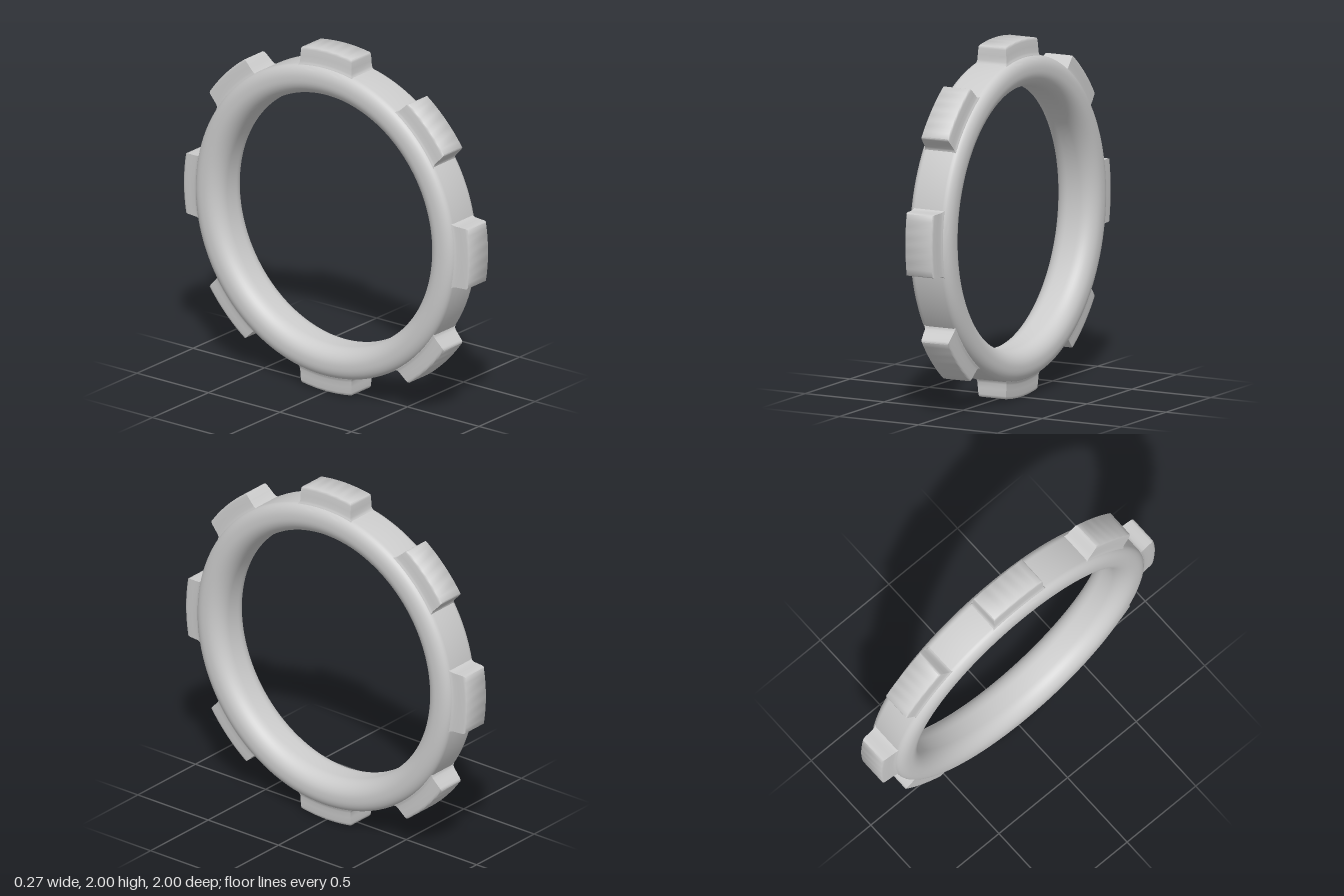
import * as THREE from 'three';
import { toCreasedNormals } from 'three/addons/utils/BufferGeometryUtils.js';

const material = new THREE.MeshStandardMaterial({ color: 0xcccccc });
const LUGS = 8;

// Rounded band, turned around the x axis
function ringGeometry() {
  const half = [];
  const arc = (cx, cr, rx, rr, from, to, n) => {
    for (let i = 0; i <= n; i++) {
      const a = from + (to - from) * i / n;
      half.push([cr + rr * Math.sin(a), cx + rx * Math.cos(a)]);
    }
  };
  // Quarter curves from the outer rim to the side, then to the bore
  arc(0.085, 0.835, 0.048, 0.07, Math.PI / 2, 0, 8);
  arc(0.04, 0.82, 0.093, 0.09, 0, -Math.PI / 2, 10);
  const mirrored = half.map(([r, x]) => [r, -x]).reverse();
  const loop = [...half, ...mirrored, half[0]].map(([r, x]) => new THREE.Vector2(r, x));
  const geometry = new THREE.LatheGeometry(loop, 128);
  geometry.rotateZ(-Math.PI / 2);
  return toCreasedNormals(geometry, 0.7);
}

// Raised block: layers of [radius, half width, half length], flared at its foot
function lugGeometry() {
  const layers = [
    [0.86, 0.1, 0.195], [0.9, 0.1, 0.192], [0.908, 0.095, 0.183], [0.92, 0.092, 0.179],
    [0.95, 0.09, 0.178], [0.985, 0.087, 0.177], [0.996, 0.085, 0.175], [1, 0.081, 0.171],
  ];
  const n = layers.length - 1;
  const geometry = new THREE.BoxGeometry(2, 1, 2, 1, n, 10);
  const p = geometry.attributes.position;
  for (let i = 0; i < p.count; i++) {
    const [r, hx, hz] = layers[Math.round((p.getY(i) + 0.5) * n)];
    const z = p.getZ(i) * hz;
    p.setXYZ(i, p.getX(i) * hx, Math.sqrt(r * r - z * z), z);
  }
  return toCreasedNormals(geometry, 0.9);
}

export function createModel() {
  const group = new THREE.Group();
  group.name = 'luggedRing';

  const ring = new THREE.Mesh(ringGeometry(), material);
  ring.name = 'ring';
  ring.position.y = 1;
  group.add(ring);

  // Evenly spaced lugs around the rim
  const geometry = lugGeometry();
  for (let i = 0; i < LUGS; i++) {
    const lug = new THREE.Mesh(geometry, material);
    lug.name = `lug${i + 1}`;
    lug.position.y = 1;
    lug.rotation.x = i * 2 * Math.PI / LUGS;
    group.add(lug);
  }
  return group;
}
